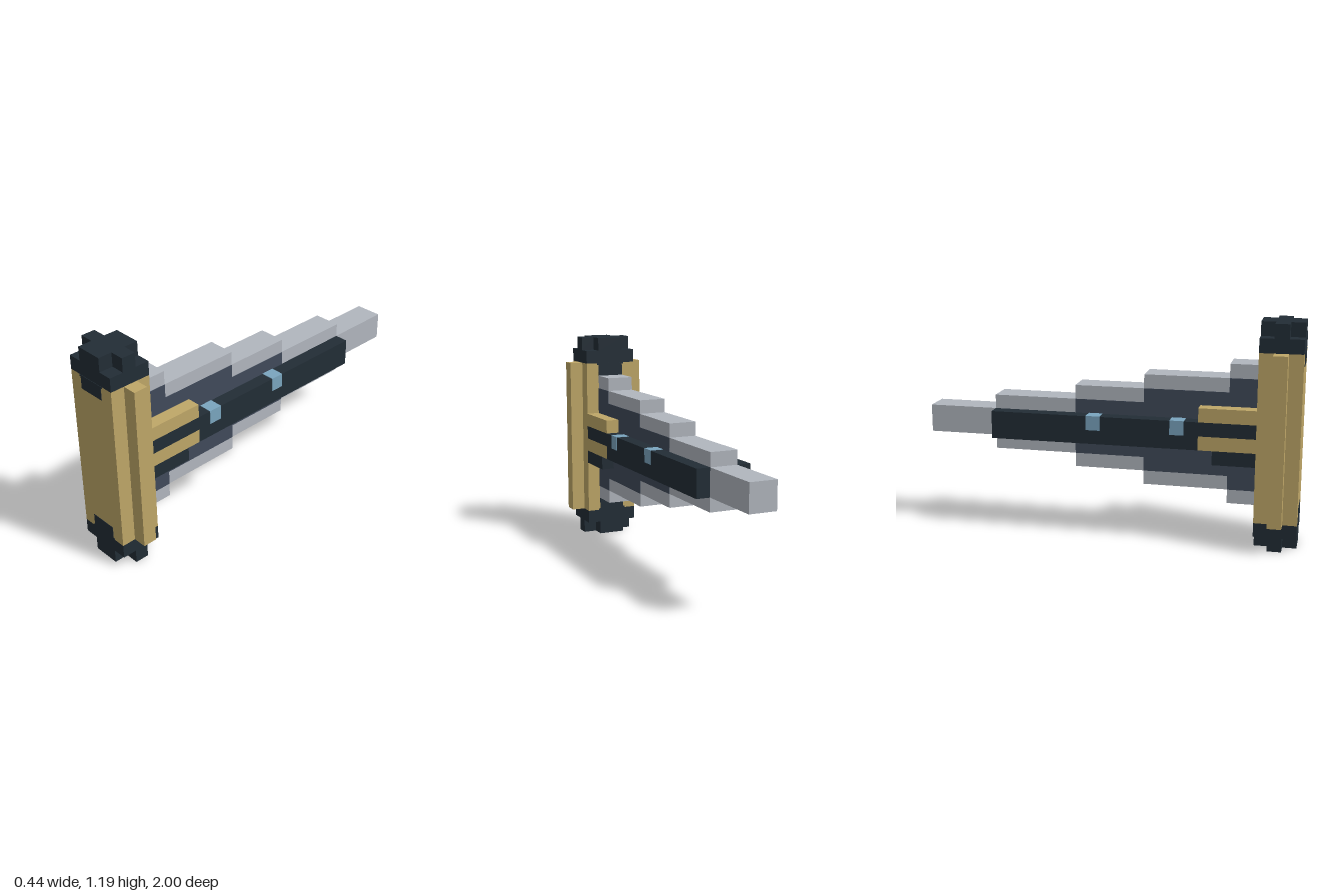
import * as THREE from 'three';

const U = 2 / 27; // one building block
const MID = 8;    // height of the blade's axis, in blocks

function material(name, color) {
  const m = new THREE.MeshStandardMaterial({ color });
  m.name = name;
  return m;
}

export function createModel() {
  const gold = material('gold', 0xbfa768);
  const dark = material('dark steel', 0x222d36);
  const grey = material('light grey', 0xb1b6be);
  const navy = material('slate blue', 0x404a5a);
  const blue = material('light blue', 0x7aa5bf);
  const model = new THREE.Group();
  model.name = 'model';

  // Box from its limits in blocks
  function box(name, mat, [x0, x1], [y0, y1], [z0, z1], parent = model) {
    const geo = new THREE.BoxGeometry((x1 - x0) * U, (y1 - y0) * U, (z1 - z0) * U);
    geo.translate((x0 + x1) / 2 * U, (y0 + y1) / 2 * U, (z0 + z1) / 2 * U);
    const mesh = new THREE.Mesh(geo, mat);
    mesh.name = name;
    parent.add(mesh);
  }

  // Stepped plate, symmetric about the axis; steps are [half height, rear end z]
  function stepped(name, mat, steps, halfWidth) {
    const upper = [[10.5, steps[0][0]]];
    steps.forEach(([h, z], i) => {
      upper.push([z, h]);
      if (steps[i + 1]) upper.push([z, steps[i + 1][0]]);
    });
    const lower = upper.map(([z, h]) => [z, -h]).reverse();
    const shape = new THREE.Shape(
      [...upper, ...lower].map(([z, h]) => new THREE.Vector2(z * U, (MID + h) * U)));
    const geo = new THREE.ExtrudeGeometry(shape, { depth: 2 * halfWidth * U, bevelEnabled: false });
    geo.translate(0, 0, -halfWidth * U);
    geo.rotateY(-Math.PI / 2);
    const mesh = new THREE.Mesh(geo, mat);
    mesh.name = name;
    model.add(mesh);
  }

  // Upright column with side fins
  box('column', gold, [-2, 2], [2, 14], [10.5, 13.5]);
  for (const s of [-1, 1]) {
    box(s > 0 ? 'leftFin' : 'rightFin', gold, s > 0 ? [2, 3] : [-3, -2], [2, 14], [11.5, 12.5]);
  }

  // Notched caps at both ends, with painted tabs reaching onto the column
  for (const top of [true, false]) {
    const cap = new THREE.Group();
    cap.name = top ? 'topCap' : 'bottomCap';
    model.add(cap);
    const y = (a, b) => (top ? [16 - b, 16 - a] : [a, b]);
    box('capBase', dark, [-2, 2], y(1, 2), [10.5, 13.5], cap);
    box('capCore', dark, [-1, 1], y(0, 1), [10.5, 13.5], cap);
    box('capLeftArm', dark, [1, 2], y(0, 1), [11.5, 12.5], cap);
    box('capRightArm', dark, [-2, -1], y(0, 1), [11.5, 12.5], cap);
    for (const z of [[13.5, 13.53], [10.47, 10.5]]) {
      box('capTab', dark, [-1, 1], y(2, 3), z, cap);
      box('capTabShoulder', dark, [-1.12, 1.12], y(2, 2.12), z, cap);
    }
  }

  // Stepped blade and the slate panels on its sides
  stepped('blade', grey, [[5, 8.5], [4, 2.5], [3, -2.5], [2, -8.5], [1, -13.5]], 1);
  stepped('bladePanels', navy, [[4, 8.5], [3, 2.5], [2, -2.5]], 1.03);

  // Side rails with grips and lights
  for (const s of [-1, 1]) {
    const rail = new THREE.Group();
    rail.name = s > 0 ? 'leftRail' : 'rightRail';
    model.add(rail);
    const x = s > 0 ? [1, 2] : [-2, -1];
    const xOut = s > 0 ? [1, 2.03] : [-2.03, -1];
    box('railBeam', dark, x, [7, 9], [-8.5, 6.5], rail);
    box('railRoot', dark, x, [8, 9], [6.5, 10.5], rail);
    box('upperGrip', gold, x, [9, 10], [6.5, 10.5], rail);
    box('lowerGrip', gold, x, [7, 8], [6.5, 10.5], rail);
    box('gripFoot', dark, x, [6, 7], [7.5, 10.5], rail);
    for (const z of [-1.5, 4.5]) box('railLight', blue, xOut, [8, 9.03], [z, z + 1], rail);
  }
  return model;
}
